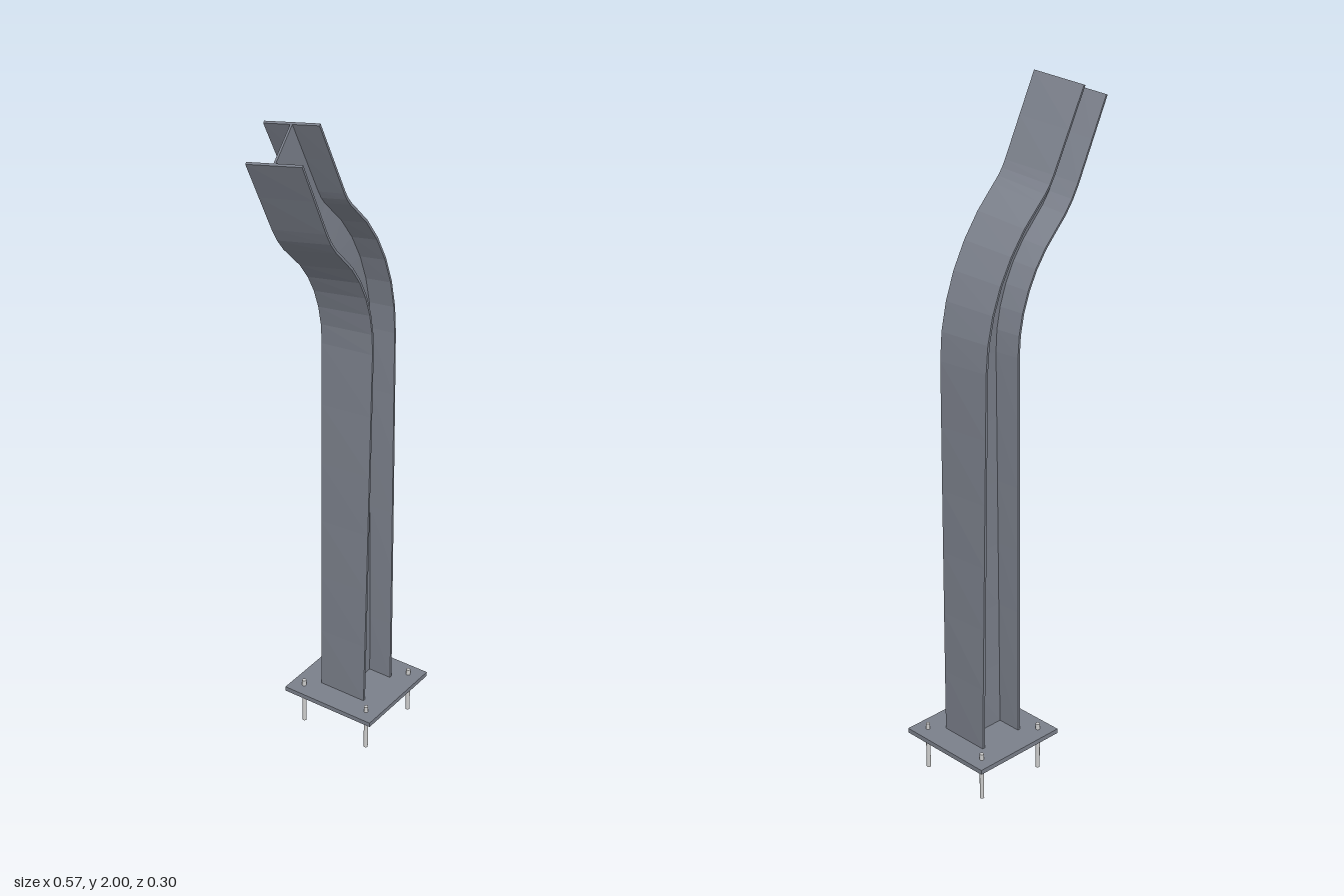
import * as THREE from 'three';

const BASE_X = 0.133, PLATE_TOP = 0.128;

// Centreline stations: straight post, bend over, bend partly back, straight end
function centreline() {
  const pts = [];
  let x = BASE_X, y = PLATE_TOP, lean = 0, s = 0;
  pts.push({ x, y, lean, s });
  const run = (length, turn, steps) => {
    for (let i = 0; i < steps; i++) {
      const mid = lean + turn / steps / 2, d = length / steps;
      x -= Math.sin(mid) * d;
      y += Math.cos(mid) * d;
      lean += turn / steps;
      s += d;
      pts.push({ x, y, lean, s });
    }
  };
  const deg = THREE.MathUtils.degToRad;
  run(1.28 - PLATE_TOP, 0, 6);
  run(0.52 * deg(47.5), deg(47.5), 6);
  run(0.102, deg(-21.8), 3);
  run(0.243, 0, 2);
  return pts;
}

// I-shaped cross-section, web along u and flanges along v
function beamProfile(depth, width, flange, web) {
  const d = depth / 2, w = width / 2, i = d - flange, t = web / 2;
  return [[d, -w], [d, w], [i, w], [i, t], [-i, t], [-i, w],
    [-d, w], [-d, -w], [-i, -w], [-i, -t], [i, -t], [i, -w]]
    .map(([u, v]) => new THREE.Vector2(u, v));
}

// Sweep the section along the centreline with a steadily growing twist
function sweptBeam(profile, path, twist) {
  const total = path[path.length - 1].s;
  const rings = path.map(({ x, y, lean, s }) => {
    const a = twist * s / total, c = Math.cos(a), n = Math.sin(a);
    return profile.map(({ x: u, y: v }) => {
      const p = u * c + v * n, q = v * c - u * n;
      return [x + p * Math.cos(lean), y + p * Math.sin(lean), q];
    });
  });
  const pos = [];
  const tri = (a, b, c) => pos.push(...a, ...b, ...c);
  for (let k = 0; k < rings.length - 1; k++) {
    const lo = rings[k], hi = rings[k + 1];
    for (let j = 0; j < profile.length; j++) {
      const m = (j + 1) % profile.length;
      tri(lo[j], hi[j], hi[m]);
      tri(lo[j], hi[m], lo[m]);
    }
  }
  // end caps
  const first = rings[0], last = rings[rings.length - 1];
  for (const [a, b, c] of THREE.ShapeUtils.triangulateShape(profile, [])) {
    tri(first[a], first[b], first[c]);
    tri(last[a], last[c], last[b]);
  }
  const geo = new THREE.BufferGeometry();
  geo.setAttribute('position', new THREE.Float32BufferAttribute(pos, 3));
  geo.computeVertexNormals();
  return geo;
}

export function createModel() {
  const group = new THREE.Group();
  const steel = new THREE.MeshStandardMaterial({ color: 0x7a7f8a, flatShading: true });
  const boltMetal = new THREE.MeshStandardMaterial({ color: 0xc4c4c4 });
  const add = (name, geo, mat, x = 0, y = 0, z = 0) => {
    const mesh = new THREE.Mesh(geo, mat);
    mesh.name = name;
    mesh.position.set(x, y, z);
    group.add(mesh);
  };

  // Bent, twisted beam
  add('beam', sweptBeam(beamProfile(0.147, 0.152, 0.008, 0.006), centreline(), THREE.MathUtils.degToRad(14.5)), steel);

  // Base plate
  add('basePlate', new THREE.BoxGeometry(0.302, 0.014, 0.302), steel, BASE_X, PLATE_TOP - 0.007, 0);

  // Anchor bolts at the plate corners
  const bolt = new THREE.CylinderGeometry(0.0062, 0.0062, 0.146, 16);
  for (const sx of [-1, 1]) {
    for (const sz of [-1, 1]) add('anchorBolt', bolt, boltMetal, BASE_X + sx * 0.111, 0.073, sz * 0.111);
  }
  return group;
}
